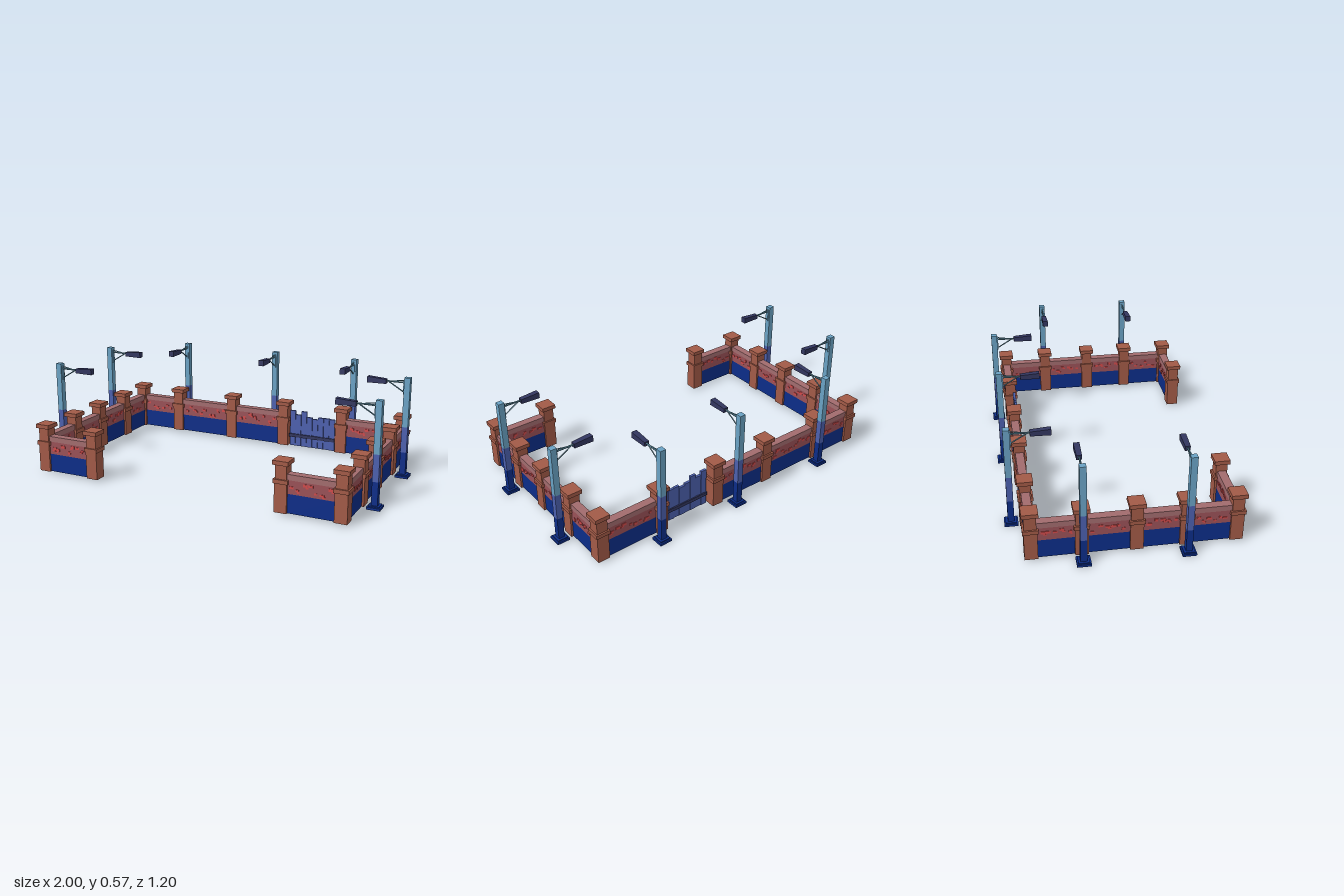
import * as THREE from 'three';

const mat = (name, color) => {
  const m = new THREE.MeshStandardMaterial({ color });
  m.name = name;
  return m;
};

export function createModel() {
  const model = new THREE.Group();
  model.name = 'walledYard';

  const brick = mat('pillar brick', 0xa25a47);
  const plaster = mat('wall plaster', 0x9a5157);
  const coping = mat('wall coping', 0xa26c6e);
  const chip = mat('exposed red brick', 0xd14a4a);
  const navy = mat('navy paint', 0x0c2d88);
  const mid = mat('mid blue paint', 0x4c60ae);
  const pale = mat('pale blue paint', 0x6aa2c4);
  const dark = mat('dark lamp metal', 0x32365f);
  const steel = mat('bracket steel', 0x56869a);

  // Small seeded generator for the scattered bricks
  let seed = 7;
  const rnd = () => (seed = (seed * 16807) % 2147483647) / 2147483647;

  // Box given by its bottom and top heights
  const box = (parent, name, m, w, y0, y1, d, x = 0, z = 0) => {
    const mesh = new THREE.Mesh(new THREE.BoxGeometry(w, y1 - y0, d), m);
    mesh.position.set(x, (y0 + y1) / 2, z);
    mesh.name = name;
    parent.add(mesh);
    return mesh;
  };

  // Thin square rod between two points
  const rod = (parent, name, m, a, b, r) => {
    const p = new THREE.Vector3(...a), q = new THREE.Vector3(...b);
    const dir = q.clone().sub(p);
    const mesh = new THREE.Mesh(new THREE.CylinderGeometry(r, r, dir.length(), 6), m);
    mesh.position.copy(p).add(q).multiplyScalar(0.5);
    mesh.quaternion.setFromUnitVectors(new THREE.Vector3(0, 1, 0), dir.normalize());
    mesh.name = name;
    parent.add(mesh);
  };

  // Brick pillar with a waist band and a cap
  const addPillar = (x, z) => {
    const g = new THREE.Group();
    g.name = 'pillar';
    g.position.set(x, 0, z);
    box(g, 'pillarShaft', brick, 0.068, 0.01, 0.17, 0.068);
    box(g, 'pillarBand', brick, 0.08, 0.165, 0.187, 0.08);
    box(g, 'pillarNeck', brick, 0.062, 0.18, 0.265, 0.062);
    box(g, 'pillarCap', brick, 0.084, 0.262, 0.285, 0.084);
    model.add(g);
  };

  // Wall between two pillar centres, with broken plaster on both faces
  const addWall = (x0, z0, x1, z1) => {
    const g = new THREE.Group();
    g.name = 'wall';
    const along = Math.hypot(x1 - x0, z1 - z0);
    const len = along - 0.06, t = 0.046;
    g.position.set((x0 + x1) / 2, 0, (z0 + z1) / 2);
    g.rotation.y = -Math.atan2(z1 - z0, x1 - x0);
    box(g, 'wallBase', navy, len, 0.012, 0.115, t);
    box(g, 'wallFace', plaster, len, 0.115, 0.187, t);
    box(g, 'wallCoping', coping, len, 0.187, 0.217, t);
    const n = Math.round(len / 0.036);
    for (const side of [-1, 1]) {
      for (let i = 0; i < n; i++) {
        const w = 0.014 + rnd() * 0.014, h = 0.009 + rnd() * 0.007;
        const y = 0.128 + rnd() * 0.042;
        const x = ((i + 0.25 + rnd() * 0.5) / n - 0.5) * (len - 0.03);
        box(g, 'exposedBrick', chip, w, y, y + h, 0.004, x, side * (t / 2 + 0.001));
        if (rnd() > 0.6) {
          box(g, 'exposedBrick', chip, w * 0.7, y - 0.008, y, 0.004, x + w * 0.4, side * (t / 2 + 0.001));
        }
      }
    }
    model.add(g);
  };

  // Runs of pillars; walls join neighbours except across the gate
  const B = -0.49, F = 0.555, X = 0.88;
  const backXs = [-X, -0.6, -0.215, 0.14, 0.515, X];
  const sideZs = [B, -0.237, 0.04, 0.293, F];
  backXs.forEach((x, i) => {
    addPillar(x, B);
    if (i > 0 && i !== 4) addWall(backXs[i - 1], B, x, B);
  });
  for (const s of [-1, 1]) {
    sideZs.forEach((z, i) => {
      if (i > 0) {
        addPillar(s * X, z);
        addWall(s * X, sideZs[i - 1], s * X, z);
      }
    });
    addPillar(s * 0.563, F);
    addWall(s * 0.563, F, s * X, F);
  }

  // Plank gate with uneven tops and two-sided rails
  const gate = new THREE.Group();
  gate.name = 'gate';
  gate.position.set(0.185, 0, -0.47);
  const tops = [0.236, 0.213, 0.236, 0.204, 0.196, 0.21, 0.21, 0.208];
  tops.forEach((top, i) =>
    box(gate, 'gatePlank', mid, 0.0345, 0.014, top, 0.014, 0.02 + i * 0.0363, i % 2 ? 0.001 : -0.001));
  for (const z of [-0.011, 0.011]) box(gate, 'gateRail', dark, 0.292, 0.07, 0.09, 0.008, 0.146, z);
  model.add(gate);

  // Lamp head: a box that deepens towards its outer end
  const headGeometry = new THREE.BoxGeometry(0.108, 0.034, 0.032);
  const p = headGeometry.attributes.position;
  for (let i = 0; i < p.count; i++) {
    if (p.getX(i) < 0) {
      p.setY(i, p.getY(i) * 0.75);
      p.setZ(i, p.getZ(i) * 0.85);
    }
  }
  headGeometry.computeVertexNormals();

  // Street lamp whose arm reaches along its local +x
  const addLamp = (x, z, turn) => {
    const g = new THREE.Group();
    g.name = 'streetLamp';
    g.position.set(x, 0, z);
    g.rotation.y = turn;
    box(g, 'lampFoot', navy, 0.073, 0, 0.013, 0.073);
    box(g, 'lampFootStep', navy, 0.058, 0.013, 0.019, 0.058);
    box(g, 'poleLower', navy, 0.034, 0.015, 0.146, 0.034);
    box(g, 'poleMiddle', mid, 0.034, 0.146, 0.292, 0.034);
    box(g, 'poleUpper', pale, 0.034, 0.292, 0.57, 0.034);
    box(g, 'armPlate', pale, 0.006, 0.475, 0.555, 0.016, 0.02);
    rod(g, 'arm', steel, [0.015, 0.54, 0], [0.13, 0.54, 0], 0.0045);
    rod(g, 'armBrace', steel, [0.018, 0.485, 0], [0.11, 0.54, 0], 0.0035);
    rod(g, 'armStay', steel, [0.018, 0.553, 0], [0.09, 0.541, 0], 0.003);
    const head = new THREE.Mesh(headGeometry, dark);
    head.name = 'lampHead';
    head.position.set(0.172, 0.539, 0);
    head.rotation.z = 0.03;
    g.add(head);
    model.add(g);
  };
  for (const z of [-0.237, 0.293]) {
    addLamp(-0.963, z, 0);
    addLamp(0.963, z, Math.PI);
  }
  for (const x of [-0.58, 0.04, 0.552]) addLamp(x, -0.568, -Math.PI / 2);

  return model;
}
